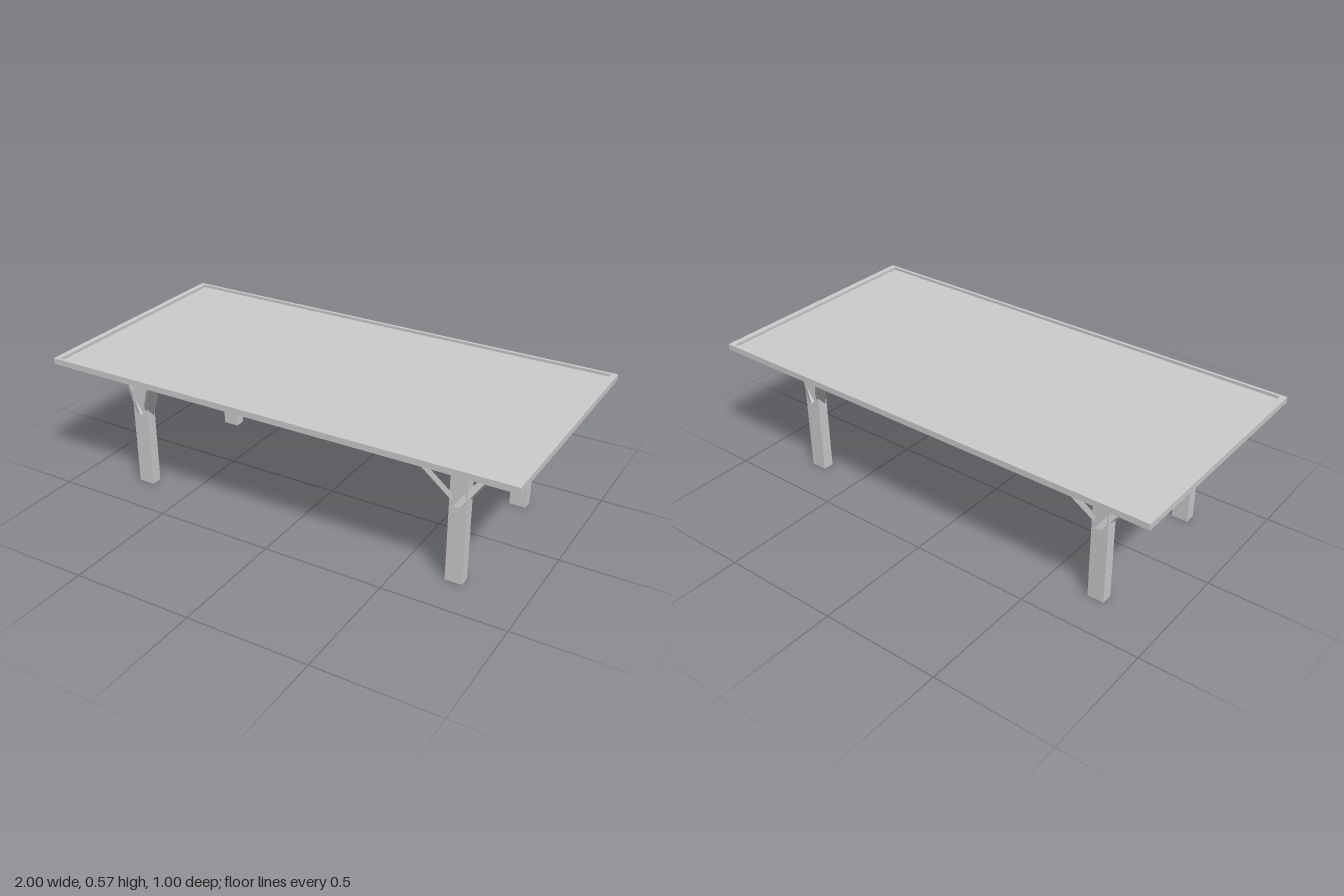
import * as THREE from 'three';

const TOP = 0.55; // underside of the tabletop

const material = new THREE.MeshStandardMaterial({
  color: 0xcccccc, flatShading: true, side: THREE.DoubleSide,
});

function part(name, geometry, parent) {
  const mesh = new THREE.Mesh(geometry, material);
  mesh.name = name;
  parent.add(mesh);
  return mesh;
}

// Slanted prism: [x, z] footprint at the tabletop, sheared down to height bottom.
// dx, dz are the sideways travel per unit of height; sx, sz mirror it to a corner.
function braceGeometry(footprint, dx, dz, bottom, sx, sz) {
  const shape = new THREE.Shape(footprint.map(([x, z]) => new THREE.Vector2(sx * x, -sz * z)));
  const geometry = new THREE.ExtrudeGeometry(shape, { depth: TOP - bottom, bevelEnabled: false });
  geometry.rotateX(-Math.PI / 2).translate(0, bottom - TOP, 0);
  geometry.applyMatrix4(new THREE.Matrix4().set(
    1, sx * dx, 0, 0,
    0, 1, 0, TOP,
    0, sz * dz, 1, 0,
    0, 0, 0, 1,
  ));
  return geometry;
}

function rectangle(path, x, z) {
  return path.moveTo(-x, -z).lineTo(x, -z).lineTo(x, z).lineTo(-x, z).closePath();
}

export function createModel() {
  const table = new THREE.Group();
  table.name = 'table';

  // Tabletop: raised rim around a slightly sunken panel
  const rim = rectangle(new THREE.Shape(), 1, 0.5);
  rim.holes.push(rectangle(new THREE.Path(), 0.975, 0.487));
  part('tabletopRim', new THREE.ExtrudeGeometry(rim, { depth: 0.025, bevelEnabled: false })
    .rotateX(-Math.PI / 2).translate(0, TOP, 0), table);
  part('tabletopPanel', new THREE.BoxGeometry(1.95, 0.013, 0.974), table)
    .position.y = TOP + 0.0065;

  // Four hollow square legs, each with two braces forming a V
  const innerFoot = [[0.53, 0.412], [0.563, 0.434], [0.583, 0.421], [0.55, 0.399]];
  const outerFoot = [[0.893, 0.21], [0.883, 0.268], [0.855, 0.28], [0.862, 0.222]];
  for (const sx of [-1, 1]) {
    for (const sz of [-1, 1]) {
      const corner = new THREE.Group();
      corner.name = `${sz > 0 ? 'front' : 'back'}${sx > 0 ? 'Left' : 'Right'}Leg`;
      table.add(corner);

      const post = new THREE.CylinderGeometry(Math.SQRT1_2, Math.SQRT1_2, TOP, 4, 1, true)
        .rotateY(Math.PI / 4).scale(0.07, 1, 0.046);
      part('legPost', post, corner).position.set(sx * 0.715, TOP / 2, sz * 0.31);
      part('innerBrace', braceGeometry(innerFoot, -0.62, 0.49, 0.3, sx, sz), corner);
      part('outerBrace', braceGeometry(outerFoot, 0.7, -0.33, 0.33, sx, sz), corner);
    }
  }
  return table;
}
